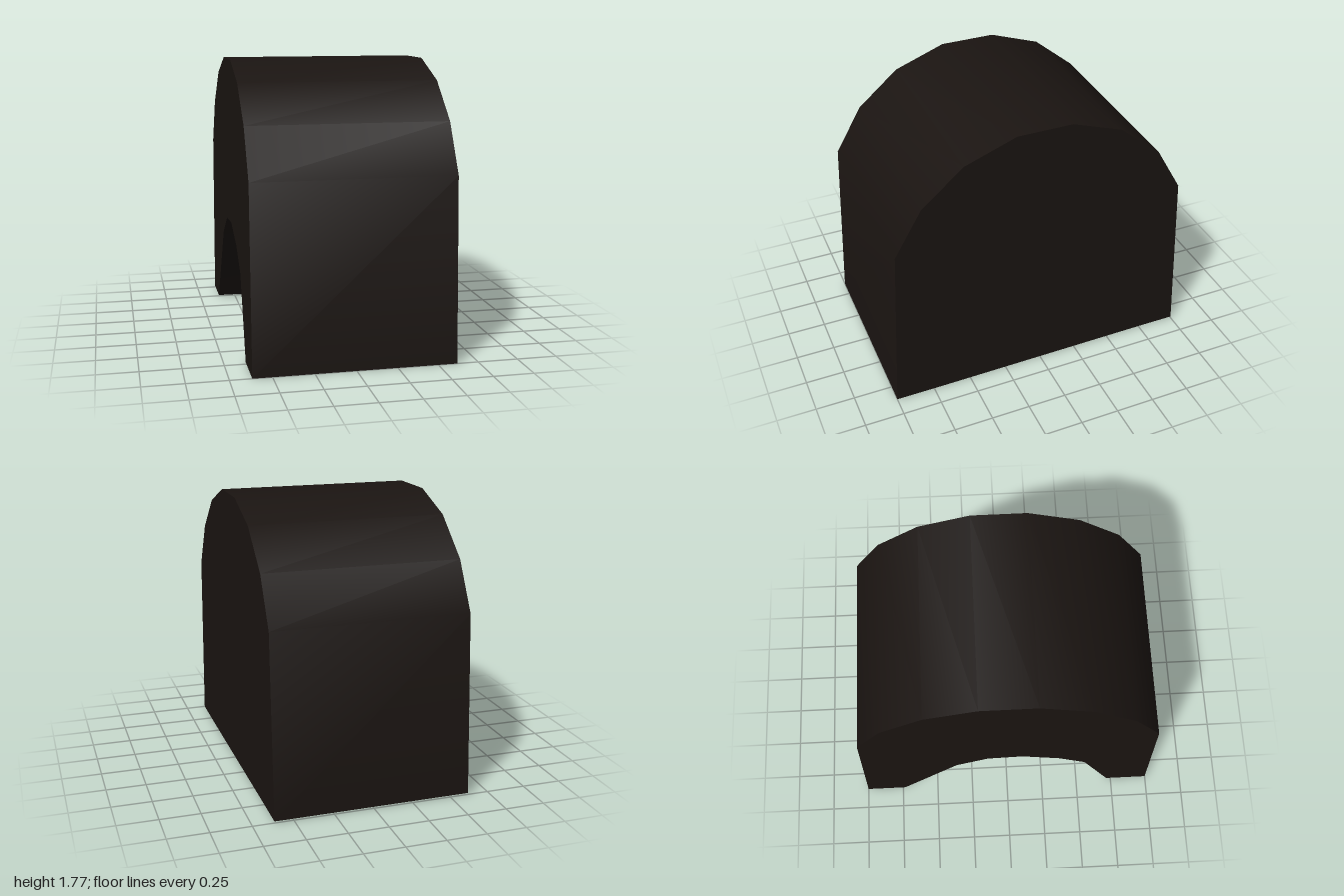
import * as THREE from 'three';
import { toCreasedNormals } from 'three/addons/utils/BufferGeometryUtils.js';

const HALF_WIDTH = 0.618;

// Profiles as [z, y], running from front to back
const OUTER = [
  [1, 0], [0.945, 1.13], [0.77, 1.43], [0.505, 1.655], [0.18, 1.775],
  [-0.17, 1.775], [-0.495, 1.66], [-0.765, 1.435], [-0.935, 1.14], [-1, 0.01],
];
const OPENING = [
  [0.72, 0], [0.525, 0.5], [0.345, 0.635], [0.1, 0.73],
  [-0.13, 0.715], [-0.34, 0.58], [-0.735, 0.01],
];

// The quarter turn about y sends shape x to -z and depth to +x
const toPoints = (profile) => profile.map(([z, y]) => new THREE.Vector2(-z, y));

export function createModel() {
  const group = new THREE.Group();
  group.name = 'archedShelter';
  const material = new THREE.MeshStandardMaterial({ color: 0x1a1411, side: THREE.DoubleSide });

  // Thick arched shell with a tunnel along its width
  const shellShape = new THREE.Shape(toPoints([...OUTER, ...[...OPENING].reverse()]));
  let shellGeometry = new THREE.ExtrudeGeometry(shellShape, { depth: 2 * HALF_WIDTH, bevelEnabled: false });
  shellGeometry.rotateY(Math.PI / 2).translate(-HALF_WIDTH, 0, 0);
  shellGeometry = toCreasedNormals(shellGeometry, 0.6);
  const shell = new THREE.Mesh(shellGeometry, material);
  shell.name = 'archedShell';

  // Flat panel closing the tunnel at one end
  const panelGeometry = new THREE.ShapeGeometry(new THREE.Shape(toPoints(OPENING)));
  panelGeometry.rotateY(Math.PI / 2).translate(HALF_WIDTH, 0, 0);
  const panel = new THREE.Mesh(panelGeometry, material);
  panel.name = 'endPanel';

  group.add(shell, panel);
  return group;
}
